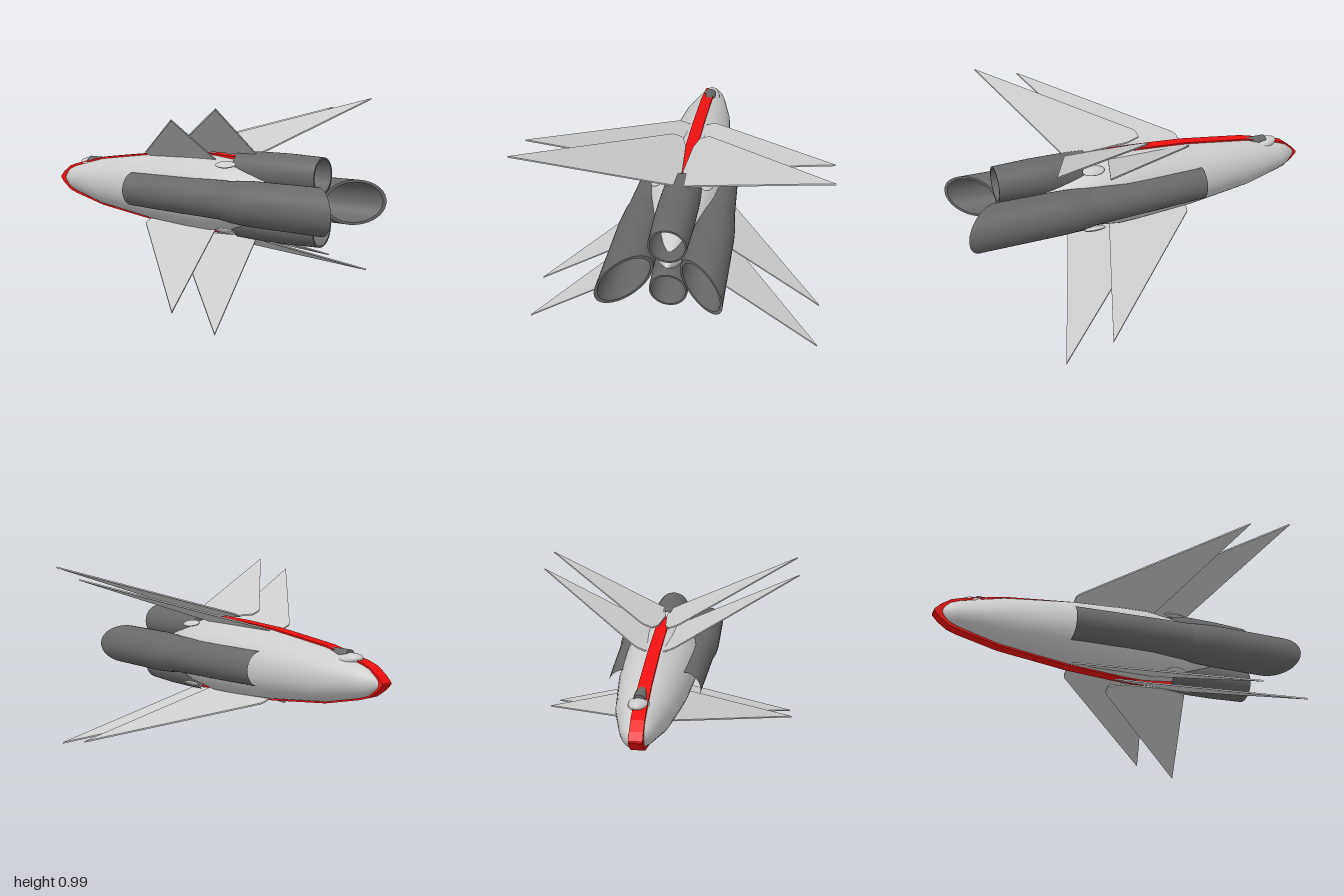
import * as THREE from 'three';

const CY = 0.5; // height of the fuselage axis
const light = new THREE.MeshStandardMaterial({ color: 0xcccccc });
const dark = new THREE.MeshStandardMaterial({ color: 0x686868 });
const red = new THREE.MeshStandardMaterial({ color: 0xf01010 });

// Hull profile: [z, radius], nose at -z
const HULL = [
  [-1, 0], [-0.97, 0.032], [-0.92, 0.068], [-0.87, 0.085], [-0.65, 0.138], [-0.45, 0.163],
  [-0.27, 0.185], [0, 0.202], [0.15, 0.207], [0.3, 0.19], [0.45, 0.152], [0.6, 0.1],
  [0.72, 0.05], [0.78, 0],
];

// Surface of revolution around the z axis
function latheZ(profile, segments = 40) {
  const pts = profile.map(([z, r]) => new THREE.Vector2(r, z));
  return new THREE.LatheGeometry(pts, segments).rotateX(Math.PI / 2);
}

function add(parent, name, geometry, material, x = 0, y = 0, z = 0) {
  const mesh = new THREE.Mesh(geometry, material);
  mesh.name = name;
  mesh.position.set(x, y, z);
  parent.add(mesh);
  return mesh;
}

// Swept wing: flat plan outline in x/z, sheared up or down along its span
function wingGeometry(sx, sy, dy, dz) {
  const plan = [
    [0.045, -0.025], [0.085, -0.025], [0.105, -0.015], [0.745, 0.685],
    [0.02, 0.42], [0.002, 0.28], [0.02, 0.05],
  ];
  const shape = new THREE.Shape(plan.map(([x, z]) => new THREE.Vector2(sx * x, z + dz)));
  const geo = new THREE.ExtrudeGeometry(shape, { depth: 0.008, bevelEnabled: false });
  geo.translate(0, 0, -0.004).rotateX(Math.PI / 2);
  const p = geo.attributes.position;
  for (let i = 0; i < p.count; i++) {
    const rise = 0.218 + dy + 0.366 * Math.abs(p.getX(i));
    p.setY(i, CY + sy * rise + p.getY(i));
  }
  geo.computeVertexNormals();
  return geo;
}

// Side exhaust with a slanted rear cut, longest on the outer side
function sideExhaust(sx) {
  const geo = latheZ([
    [0.34, 0.1], [0.4, 0.108], [0.5, 0.114], [0.88, 0.115],
    [0.88, 0.115], [0.88, 0.102], [0.88, 0.102], [0.36, 0.09],
  ]);
  const p = geo.attributes.position;
  for (let i = 0; i < p.count; i++) {
    if (p.getZ(i) > 0.87) p.setZ(i, p.getZ(i) + sx * 1.03 * p.getX(i));
  }
  geo.computeVertexNormals();
  return geo;
}

export function createModel() {
  const model = new THREE.Group();
  model.name = 'starfighter';

  add(model, 'fuselage', latheZ(HULL, 48), light, 0.003, CY);

  // Red keel band standing just proud of the hull, top and bottom
  const band = HULL.slice(0, 9).concat([[0.32, 0.197]]);
  const outline = [
    ...band.map(([z, r]) => new THREE.Vector2(z, r + 0.005)),
    ...band.slice().reverse().map(([z, r]) => new THREE.Vector2(z, -r - 0.005)),
  ];
  const bandGeo = new THREE.ExtrudeGeometry(new THREE.Shape(outline), { depth: 0.064, bevelEnabled: false });
  bandGeo.translate(0, 0, -0.032).rotateY(-Math.PI / 2);
  add(model, 'stripe', bandGeo, red, 0.004, CY).rotation.y = 0.01;

  // Cockpit: smooth blister with a dark round-topped canopy
  const blister = add(model, 'cockpitBlister', new THREE.SphereGeometry(1, 32, 20), light, 0.009, 0.585, -0.755);
  blister.scale.set(0.053, 0.034, 0.106);
  blister.rotation.x = 0.2;
  const canopy = new THREE.CylinderGeometry(0.032, 0.032, 0.125, 24).rotateX(Math.PI / 2);
  add(model, 'canopy', canopy, dark, 0.007, 0.606, -0.722);

  // Upper and lower engines, open at both ends
  const bell = latheZ([
    [0.31, 0.096], [0.45, 0.1], [0.6, 0.1], [0.79, 0.093], [0.79, 0.093],
    [0.79, 0.084], [0.79, 0.084], [0.55, 0.088], [0.31, 0.088],
  ]);
  add(model, 'upperEngine', bell, dark, 0.009, 0.637);
  add(model, 'lowerEngine', bell, dark, 0.009, 0.374);

  for (const sx of [1, -1]) {
    const side = sx > 0 ? 'left' : 'right';

    // Intake tube, slanting out from the hull to the exhaust
    const intake = latheZ([[-0.31, 0.093], [-0.05, 0.097], [0.36, 0.101]]);
    const p = intake.attributes.position;
    for (let i = 0; i < p.count; i++) {
      p.setX(i, p.getX(i) + sx * (0.147 + 0.045 * (p.getZ(i) + 0.31)));
    }
    add(model, side + 'Intake', intake, dark, 0, 0.497);
    add(model, side + 'Exhaust', sideExhaust(sx), dark, sx * 0.179, 0.495);

    // Two staggered wings above and two below, with a small root fairing
    for (const sy of [1, -1]) {
      const level = sy > 0 ? 'Upper' : 'Lower';
      add(model, side + level + 'RearWing', wingGeometry(sx, sy, 0, 0), light);
      add(model, side + level + 'FrontWing', wingGeometry(sx, sy, -0.055, -0.24), light);
      const fairing = add(model, side + level + 'Fairing', new THREE.SphereGeometry(1, 20, 12),
        light, sx * 0.125, CY + sy * 0.172, 0.3);
      fairing.scale.set(0.036, 0.012, 0.06);
      fairing.rotation.z = -sx * sy * 0.35;
    }
  }
  return model;
}
